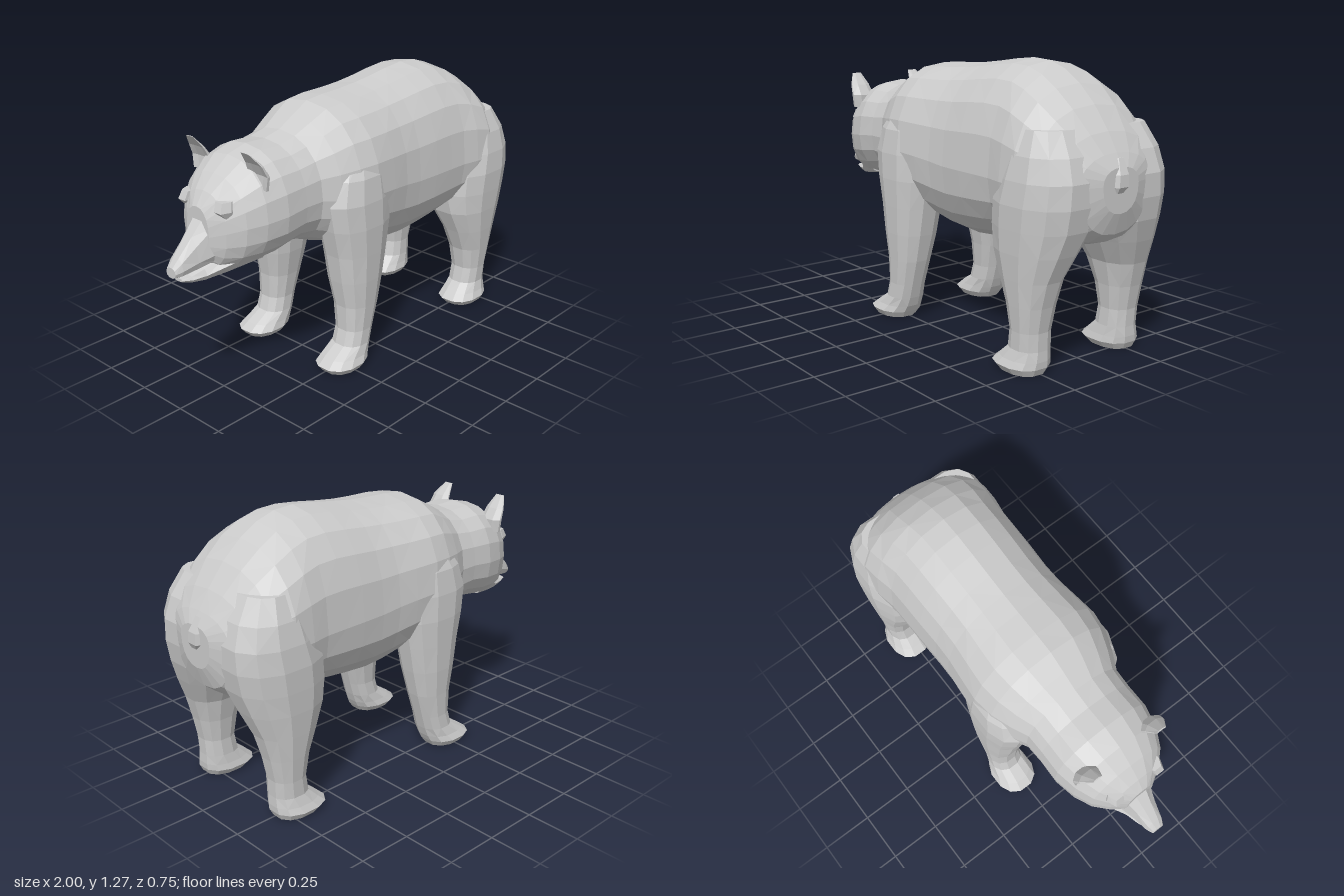
import * as THREE from 'three';

const material = new THREE.MeshStandardMaterial({ color: 0xcccccc, flatShading: true, side: THREE.DoubleSide });

// Skin a list of closed rings (ordered along +x or +y) and cap both ends.
function loft(name, rings) {
  const n = rings[0].length, position = [], index = [];
  rings.forEach(ring => ring.forEach(p => position.push(...p)));
  for (let i = 0; i < rings.length - 1; i++) {
    for (let j = 0; j < n; j++) {
      const k = (j + 1) % n;
      const a = i * n + j, b = a + n, c = i * n + k, d = c + n;
      // Alternate the diagonal for a hand-cut, faceted surface.
      if ((i + j) % 2) index.push(a, b, c, c, b, d);
      else index.push(a, b, d, a, d, c);
    }
  }
  [0, rings.length - 1].forEach((r, end) => {
    const centre = position.length / 3;
    const mid = [0, 1, 2].map(axis => rings[r].reduce((sum, p) => sum + p[axis], 0) / n);
    position.push(...mid);
    for (let j = 0; j < n; j++) {
      const a = r * n + j, b = r * n + (j + 1) % n;
      index.push(centre, end ? b : a, end ? a : b);
    }
  });
  const geometry = new THREE.BufferGeometry();
  geometry.setAttribute('position', new THREE.Float32BufferAttribute(position, 3));
  geometry.setIndex(index);
  geometry.computeVertexNormals();
  const mesh = new THREE.Mesh(geometry, material);
  mesh.name = name;
  return mesh;
}

const bulge = (v, e) => Math.sign(v) * Math.abs(v) ** e;

// Upright section across x: bottom, widest level, top, half width.
function sectionX([x, bottom, mid, top, w], n, e = 0.88) {
  return Array.from({ length: n }, (_, j) => {
    const a = (j / n) * Math.PI * 2, s = bulge(Math.sin(a), e);
    return [x, mid + s * (s > 0 ? top - mid : mid - bottom), w * bulge(Math.cos(a), e)];
  });
}

// Level section across y: x range and z range; cup < 0 hollows the front.
function sectionY([y, x0, x1, z0, z1], side, n, cup = 1) {
  return Array.from({ length: n }, (_, j) => {
    const a = ((j + 0.5) / n) * Math.PI * 2, c = bulge(Math.cos(a), 0.85);
    return [
      (x0 + x1) / 2 + (x1 - x0) / 2 * c * (c < 0 ? cup : 1), y,
      side * (z0 + z1) / 2 + (z1 - z0) / 2 * bulge(Math.sin(a), 0.85)
    ];
  });
}

// x, bottom, widest level, top, half width
const BODY = [
  [-0.85, 0.66, 0.78, 0.90, 0.07],
  [-0.81, 0.62, 0.80, 0.96, 0.135],
  [-0.75, 0.605, 0.82, 1.02, 0.195],
  [-0.67, 0.61, 0.83, 1.08, 0.235],
  [-0.57, 0.62, 0.84, 1.105, 0.257],
  [-0.46, 0.64, 0.85, 1.10, 0.255],
  [-0.37, 0.62, 0.85, 1.12, 0.258],
  [-0.29, 0.59, 0.84, 1.165, 0.30],
  [-0.20, 0.565, 0.83, 1.213, 0.335],
  [-0.10, 0.535, 0.83, 1.222, 0.35],
  [0.02, 0.49, 0.82, 1.226, 0.338],
  [0.12, 0.465, 0.81, 1.233, 0.327],
  [0.22, 0.458, 0.80, 1.245, 0.325],
  [0.34, 0.47, 0.80, 1.262, 0.33],
  [0.45, 0.485, 0.80, 1.273, 0.332],
  [0.55, 0.505, 0.80, 1.267, 0.335],
  [0.64, 0.51, 0.80, 1.238, 0.352],
  [0.73, 0.515, 0.80, 1.185, 0.36],
  [0.82, 0.525, 0.80, 1.105, 0.335],
  [0.90, 0.55, 0.80, 1.005, 0.275],
  [0.95, 0.59, 0.80, 0.925, 0.20],
  [0.98, 0.68, 0.80, 0.87, 0.10]
];
const MUZZLE = [
  [-1.00, 0.628, 0.65, 0.675, 0.03],
  [-0.97, 0.625, 0.66, 0.712, 0.045],
  [-0.90, 0.632, 0.68, 0.79, 0.06],
  [-0.82, 0.65, 0.70, 0.885, 0.085],
  [-0.70, 0.66, 0.72, 0.95, 0.12]
];
const JAW = [
  [-0.965, 0.602, 0.61, 0.617, 0.028],
  [-0.92, 0.587, 0.605, 0.622, 0.045],
  [-0.86, 0.578, 0.61, 0.645, 0.062],
  [-0.77, 0.592, 0.65, 0.70, 0.12],
  [-0.62, 0.615, 0.70, 0.75, 0.19]
];

// y, x range, z range
const FRONT_LEG = [
  [0.005, -0.355, -0.15, 0.18, 0.345],
  [0.035, -0.38, -0.13, 0.157, 0.365],
  [0.065, -0.34, -0.115, 0.165, 0.35],
  [0.11, -0.265, -0.10, 0.172, 0.338],
  [0.18, -0.245, -0.08, 0.175, 0.335],
  [0.30, -0.25, -0.045, 0.16, 0.342],
  [0.43, -0.275, -0.015, 0.135, 0.352],
  [0.56, -0.295, 0.01, 0.12, 0.358],
  [0.69, -0.325, 0.035, 0.11, 0.363],
  [0.81, -0.345, 0.04, 0.10, 0.36],
  [0.92, -0.31, 0.02, 0.10, 0.345],
  [1.02, -0.24, -0.02, 0.10, 0.30]
];
const HIND_LEG = [
  [0.005, 0.585, 0.80, 0.18, 0.345],
  [0.035, 0.555, 0.815, 0.157, 0.365],
  [0.065, 0.59, 0.817, 0.165, 0.35],
  [0.11, 0.64, 0.815, 0.172, 0.335],
  [0.19, 0.655, 0.818, 0.175, 0.338],
  [0.30, 0.635, 0.84, 0.16, 0.35],
  [0.41, 0.59, 0.87, 0.135, 0.362],
  [0.52, 0.54, 0.915, 0.075, 0.372],
  [0.62, 0.52, 0.95, 0.02, 0.378],
  [0.72, 0.525, 0.968, 0.01, 0.381],
  [0.82, 0.56, 0.968, 0.01, 0.372],
  [0.92, 0.60, 0.935, 0.02, 0.35],
  [1.02, 0.65, 0.87, 0.05, 0.305]
];
const EAR = [
  [0.97, -0.72, -0.63, 0.11, 0.23],
  [1.03, -0.715, -0.63, 0.115, 0.238],
  [1.08, -0.72, -0.665, 0.125, 0.23],
  [1.135, -0.738, -0.722, 0.145, 0.195]
];
const BROW = [
  [0.855, -0.80, -0.74, 0.10, 0.14],
  [0.895, -0.842, -0.74, 0.075, 0.15],
  [0.935, -0.825, -0.74, 0.07, 0.14]
];
const TAIL = [
  [0.765, 0.95, 0.985, -0.02, 0.035],
  [0.79, 0.94, 1.0, -0.045, 0.045],
  [0.84, 0.94, 0.998, -0.045, 0.04],
  [0.905, 0.93, 0.968, -0.035, 0.015]
];

export function createModel() {
  const model = new THREE.Group();
  model.name = 'bear';

  // Trunk with neck and skull, then the two halves of the mouth
  model.add(loft('body', BODY.map(s => sectionX(s, 20))));
  model.add(loft('muzzle', MUZZLE.map(s => sectionX(s, 10))));
  model.add(loft('lowerJaw', JAW.map(s => sectionX(s, 8))));
  model.add(loft('tail', TAIL.map(s => sectionY(s, 1, 6))));

  // Paired parts
  for (const [label, side] of [['Left', -1], ['Right', 1]].map(([l, s]) => [l, -s])) {
    const z = -side;
    model.add(loft('frontLeg' + label, FRONT_LEG.map(s => sectionY(s, z, 12))));
    model.add(loft('hindLeg' + label, HIND_LEG.map(s => sectionY(s, z, 12))));
    model.add(loft('ear' + label, EAR.map(s => sectionY(s, z, 8, -0.3))));
    model.add(loft('brow' + label, BROW.map(s => sectionY(s, z, 6))));
  }
  return model;
}
